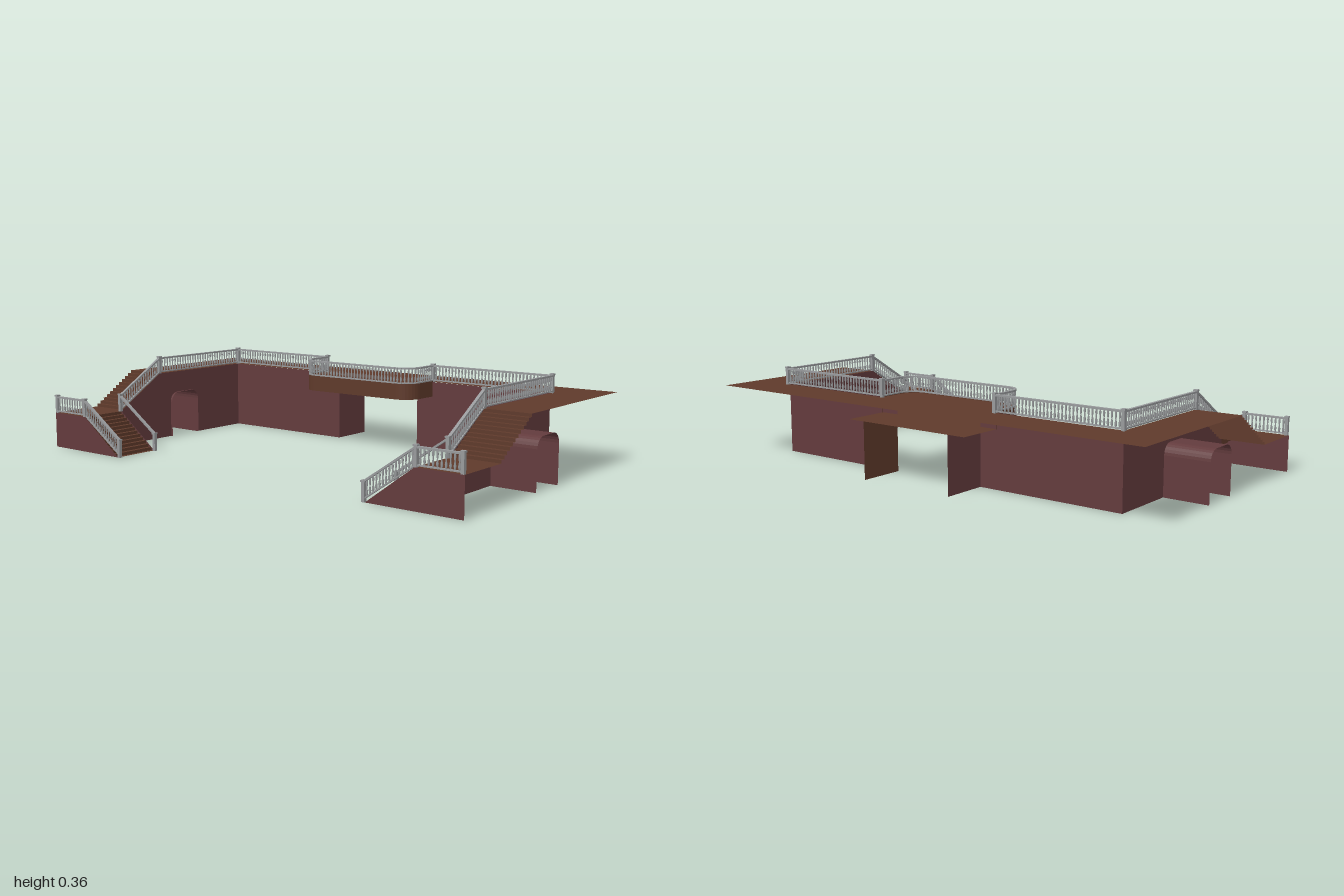
import * as THREE from 'three';
import { mergeGeometries } from 'three/addons/utils/BufferGeometryUtils.js';

const V = (x, y, z) => new THREE.Vector3(x, y, z);
const FLOOR = 0.285, LANDING = 0.145, SOFFIT = 0.225;
const IN = 0.812, BACK = -0.37;

// Sheet swept from a line of points along one direction
function ribbon(points, sweep) {
  const pos = [];
  for (let i = 0; i < points.length - 1; i++) {
    const a = points[i], b = points[i + 1];
    const c = b.clone().add(sweep), d = a.clone().add(sweep);
    for (const p of [a, b, c, a, c, d]) pos.push(p.x, p.y, p.z);
  }
  const g = new THREE.BufferGeometry();
  g.setAttribute('position', new THREE.Float32BufferAttribute(pos, 3));
  g.computeVertexNormals();
  return g;
}

const polygon = (pts) => new THREE.Shape(pts.map(([x, y]) => new THREE.Vector2(x, y)));

// Flat horizontal sheet from [x, z] corners
function deck(pts, y) {
  const g = new THREE.ShapeGeometry(polygon(pts.map(([x, z]) => [x, -z])));
  return g.rotateX(-Math.PI / 2).translate(0, y, 0);
}

// Stepped line from the top point down to the bottom point
function steps(top, bottom, n) {
  const pts = [];
  for (let i = 0; i < n; i++) {
    const a = top.clone().lerp(bottom, i / n), b = top.clone().lerp(bottom, (i + 1) / n);
    pts.push(a, V(a.x, b.y, a.z), b);
  }
  return pts;
}

// Straight bar between two points
function beam(a, b, w, h) {
  const g = new THREE.BoxGeometry(w, h, a.distanceTo(b));
  const m = new THREE.Matrix4().lookAt(b, a, V(0, 1, 0));
  m.setPosition(a.clone().add(b).multiplyScalar(0.5));
  return g.applyMatrix4(m);
}

// Turned baluster
function baluster(p) {
  const profile = [[0.0025, 0.008], [0.0045, 0.022], [0.002, 0.036], [0.004, 0.052], [0.0025, 0.064]];
  return new THREE.LatheGeometry(profile.map(([r, y]) => new THREE.Vector2(r, y)), 6).translate(p.x, p.y, p.z);
}

// Handrail, foot rail and evenly spaced balusters along a path
function railing(path, full = true) {
  const parts = [], up = (p, h) => p.clone().setY(p.y + h);
  for (let i = 0; i < path.length - 1; i++) {
    parts.push(beam(up(path[i], 0.066), up(path[i + 1], 0.066), 0.012, 0.007));
    if (full) parts.push(beam(up(path[i], 0.007), up(path[i + 1], 0.007), 0.01, 0.005));
  }
  if (full) {
    const curve = new THREE.CurvePath();
    for (let i = 0; i < path.length - 1; i++) curve.add(new THREE.LineCurve3(path[i], path[i + 1]));
    const n = Math.round(curve.getLength() / 0.0155);
    for (let i = 1; i < n; i++) parts.push(baluster(curve.getPointAt(i / n)));
  }
  return mergeGeometries(parts);
}

// Square post with a cap
function post(p) {
  return mergeGeometries([
    new THREE.BoxGeometry(0.013, 0.07, 0.013).translate(p.x, p.y + 0.035, p.z),
    new THREE.BoxGeometry(0.017, 0.006, 0.017).translate(p.x, p.y + 0.072, p.z),
  ]);
}

export function createModel() {
  const make = (name, color) => {
    const m = new THREE.MeshStandardMaterial({ color, side: THREE.DoubleSide });
    m.name = name;
    return m;
  };
  const brown = make('brown floor', 0x5f3a2b);
  const mauve = make('mauve wall', 0x633b3d);
  const grey = make('grey railing', 0x989a9c);

  const model = new THREE.Group();
  model.name = 'terrace';
  const add = (name, geometry, material, parent = model) => {
    const mesh = new THREE.Mesh(geometry, material);
    mesh.name = name;
    parent.add(mesh);
  };

  // Rounded balcony edge from right to left, as [x, z]
  const edge = [[0.28, BACK - 0.005]];
  for (const s of [1, -1]) {
    for (let i = 0; i <= 8; i++) {
      const a = (s > 0 ? i : 8 - i) / 8 * Math.PI / 2;
      edge.push([s * (0.21 + 0.07 * Math.cos(a)), -0.275 + 0.07 * Math.sin(a)]);
    }
  }
  edge.push([-0.28, BACK - 0.005]);

  // Upper floor in one U-shaped sheet
  add('upperFloor', deck([
    [-1, -0.555], [1, -0.555], [1, 0.125], [IN, 0.125], [IN, BACK], ...edge,
    [-IN, BACK], [-IN, 0.125], [-1, 0.125],
  ], FLOOR), brown);

  // Balcony front and underside
  add('balconyFascia', ribbon(edge.map(([x, z]) => V(x, SOFFIT, z)), V(0, FLOOR - SOFFIT + 0.004, 0)), brown);
  add('balconyUnderside', deck([[-0.28, -0.555], [0.28, -0.555], ...edge], SOFFIT), brown);

  // Balcony railing
  add('balconyRailing', railing(edge.map(([x, z]) => V(x * 0.985, FLOOR, z - 0.003))), grey);

  for (const s of [1, -1]) {
    const side = new THREE.Group();
    side.name = s > 0 ? 'leftWing' : 'rightWing';
    model.add(side);
    const put = (name, geometry, material) => add(name, geometry, material, side);

    // Back wall and passage wall
    put('backWall', ribbon([V(s * 0.205, 0, BACK), V(s * IN, 0, BACK)], V(0, FLOOR, 0)), mauve);
    put('passageWall', ribbon([V(s * 0.205, 0, BACK), V(s * 0.205, 0, -0.555)], V(0, SOFFIT, 0)),
      s > 0 ? brown : mauve);

    // Side wall with a round-cornered archway, drawn as z, y
    const arch = [[-0.095, 0]];
    for (let i = 0; i <= 6; i++) {
      const a = i / 6 * Math.PI / 2;
      arch.push([-0.053 - 0.042 * Math.cos(a), 0.153 + 0.042 * Math.sin(a)]);
    }
    for (let i = 6; i >= 0; i--) {
      const a = i / 6 * Math.PI / 2;
      arch.push([0.023 + 0.042 * Math.cos(a), 0.153 + 0.042 * Math.sin(a)]);
    }
    arch.push([0.065, 0]);
    const wall = polygon([[BACK, 0], ...arch, [0.35, 0], [0.35, LANDING], [0.125, FLOOR], [BACK, FLOOR]]);
    put('sideWall', new THREE.ShapeGeometry(wall).rotateY(-Math.PI / 2).translate(s * IN, 0, 0), mauve);
    put('archTunnel', ribbon(arch.map(([z, y]) => V(s * 0.803, y, z)), V(s * 0.19, 0, 0)), mauve);

    // Upper flight, landing and lower flight
    put('upperStairs', ribbon(steps(V(s * IN, FLOOR, 0.125), V(s * IN, LANDING, 0.34), 12), V(s * (1 - IN), 0, 0)), brown);
    put('landing', deck([[s * IN, 0.34], [s, 0.34], [s, 0.545], [s * IN, 0.545]], LANDING), brown);
    put('lowerStairs', ribbon(steps(V(s * IN, LANDING, 0.35), V(s * 0.615, 0, 0.35), 12), V(0, 0, 0.195)), brown);

    // Walls beside the lower flight
    put('landingFrontWall', new THREE.ShapeGeometry(polygon([
      [s, 0], [s, LANDING], [s * IN, LANDING], [s * 0.615, 0],
    ])).translate(0, 0, 0.545), mauve);
    put('stairInnerWall', new THREE.ShapeGeometry(polygon([
      [s * IN, 0], [s * IN, LANDING], [s * 0.615, 0],
    ])).translate(0, 0, 0.35), mauve);

    // Railings
    const X = s * 0.815, Z = BACK - 0.007;
    put('backRailing', railing([V(s * 0.277, FLOOR, Z), V(X, FLOOR, Z)]), grey);
    put('sideRailing', railing([V(X, FLOOR, Z), V(X, FLOOR, 0.125)]), grey);
    put('upperStairRailing', railing([V(X, FLOOR, 0.125), V(X, LANDING, 0.352)]), grey);
    put('landingRailing', railing([V(s * 0.993, LANDING, 0.541), V(X, LANDING, 0.541)]), grey);
    put('lowerStairRailing', railing([V(X, LANDING, 0.541), V(s * 0.608, 0.004, 0.541)]), grey);
    put('lowerStairHandrail', railing([V(X, LANDING, 0.352), V(s * 0.608, 0.004, 0.352)], false), grey);

    // Posts
    const posts = [
      V(s * 0.277, FLOOR, Z), V(X, FLOOR, Z), V(X, FLOOR, 0.125), V(X, LANDING, 0.352),
      V(X, LANDING, 0.541), V(s * 0.991, LANDING, 0.541), V(s * 0.608, 0, 0.541), V(s * 0.608, 0, 0.352),
    ];
    put('railingPosts', mergeGeometries(posts.map(post)), grey);
  }
  return model;
}
